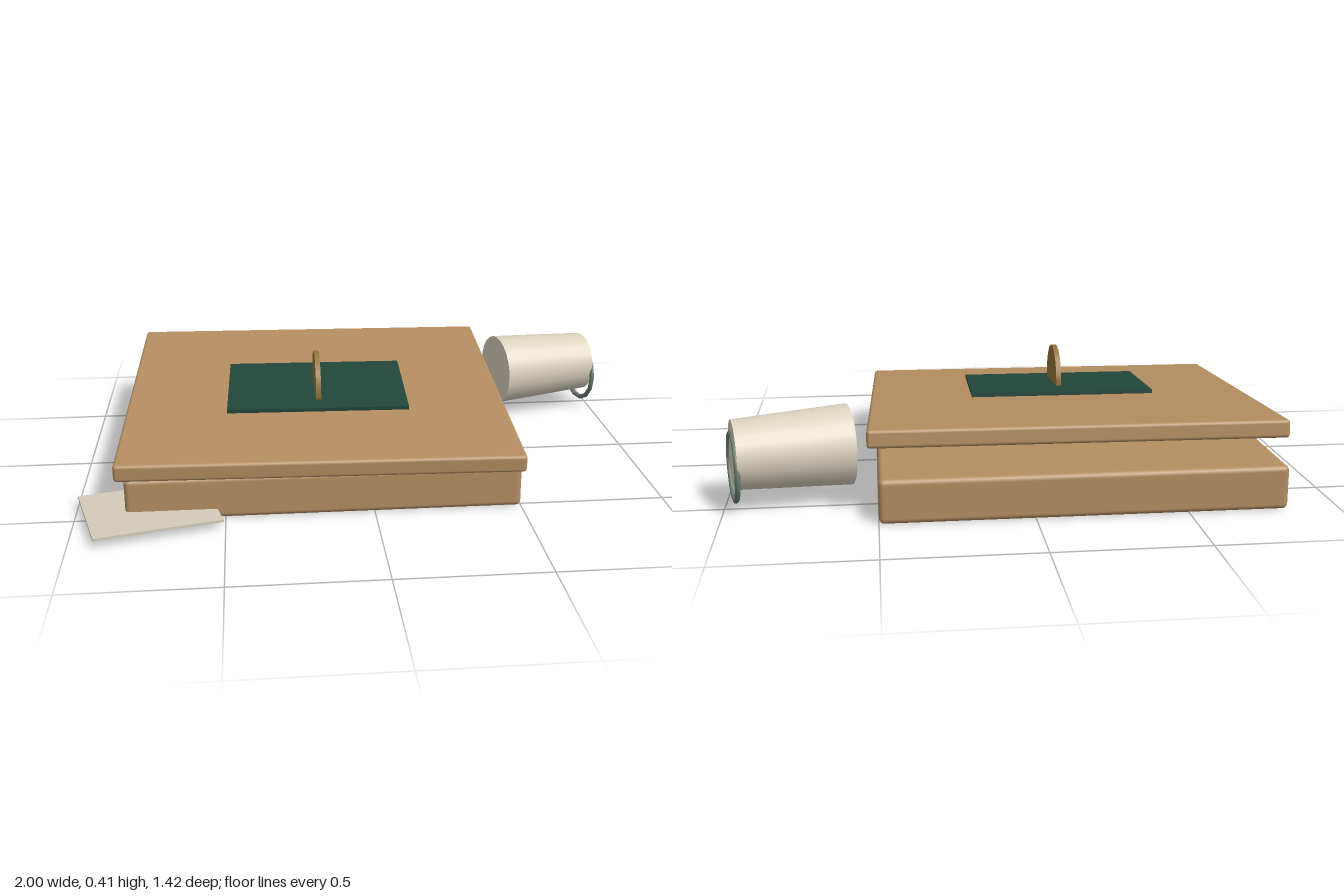
import * as THREE from 'three';
import { RoundedBoxGeometry } from 'three/addons/geometries/RoundedBoxGeometry.js';

const material = (name, color) => {
  const m = new THREE.MeshStandardMaterial({ color });
  m.name = name;
  return m;
};

export function createModel() {
  const group = new THREE.Group();
  const wood = material('wood', 0xb58e62);
  const green = material('dark green', 0x23463a);
  const brass = material('brass', 0x94743b);
  const paper = material('paper', 0xd3ccb9);
  const ceramic = material('ceramic', 0xdbd2bf);
  const greyGreen = material('grey green', 0x6f7f70);

  const add = (name, geometry, mat, position, yaw = 0, tilt = 0) => {
    const mesh = new THREE.Mesh(geometry, mat);
    mesh.name = name;
    mesh.position.set(...position);
    mesh.rotation.set(tilt, yaw, 0);
    group.add(mesh);
    return mesh;
  };

  // Box body and the lid resting on it, tilted and slightly turned
  const yaw = -0.0255, tilt = 0.071;
  add('boxBase', new RoundedBoxGeometry(1.33, 0.147, 1.23, 3, 0.018), wood, [-0.165, 0.0735, -0.095]);
  add('boxLid', new RoundedBoxGeometry(1.36, 0.06, 1.25, 3, 0.012), wood, [-0.163, 0.224, -0.058], yaw, tilt);

  // Label panel hovering just over the lid
  add('lidPanel', new THREE.BoxGeometry(0.642, 0.013, 0.432), green, [-0.163, 0.274, -0.006], yaw, tilt);

  // Upright disc used as the knob
  const disc = new THREE.CylinderGeometry(0.119, 0.119, 0.018, 18).rotateZ(Math.PI / 2);
  add('lidKnob', disc, brass, [-0.163, 0.295, 0.022], 0, tilt);

  // Loose sheet tucked under the front left corner
  add('paperSheet', new THREE.BoxGeometry(0.423, 0.009, 0.345), paper, [-0.7525, 0.03, 0.49], 0.25);

  // Tapered cup lying on its side, wide end towards the box
  const cupYaw = 0.225;
  const cup = new THREE.CylinderGeometry(0.115, 0.136, 0.382, 24).rotateZ(-Math.PI / 2);
  add('cup', cup, ceramic, [0.779, 0.183, -0.45], cupYaw);

  // Ring hanging at the narrow end
  const ring = new THREE.TorusGeometry(0.113, 0.009, 8, 14).rotateY(Math.PI / 2);
  add('cupRing', ring, greyGreen, [0.966, 0.142, -0.489], cupYaw);

  return group;
}
